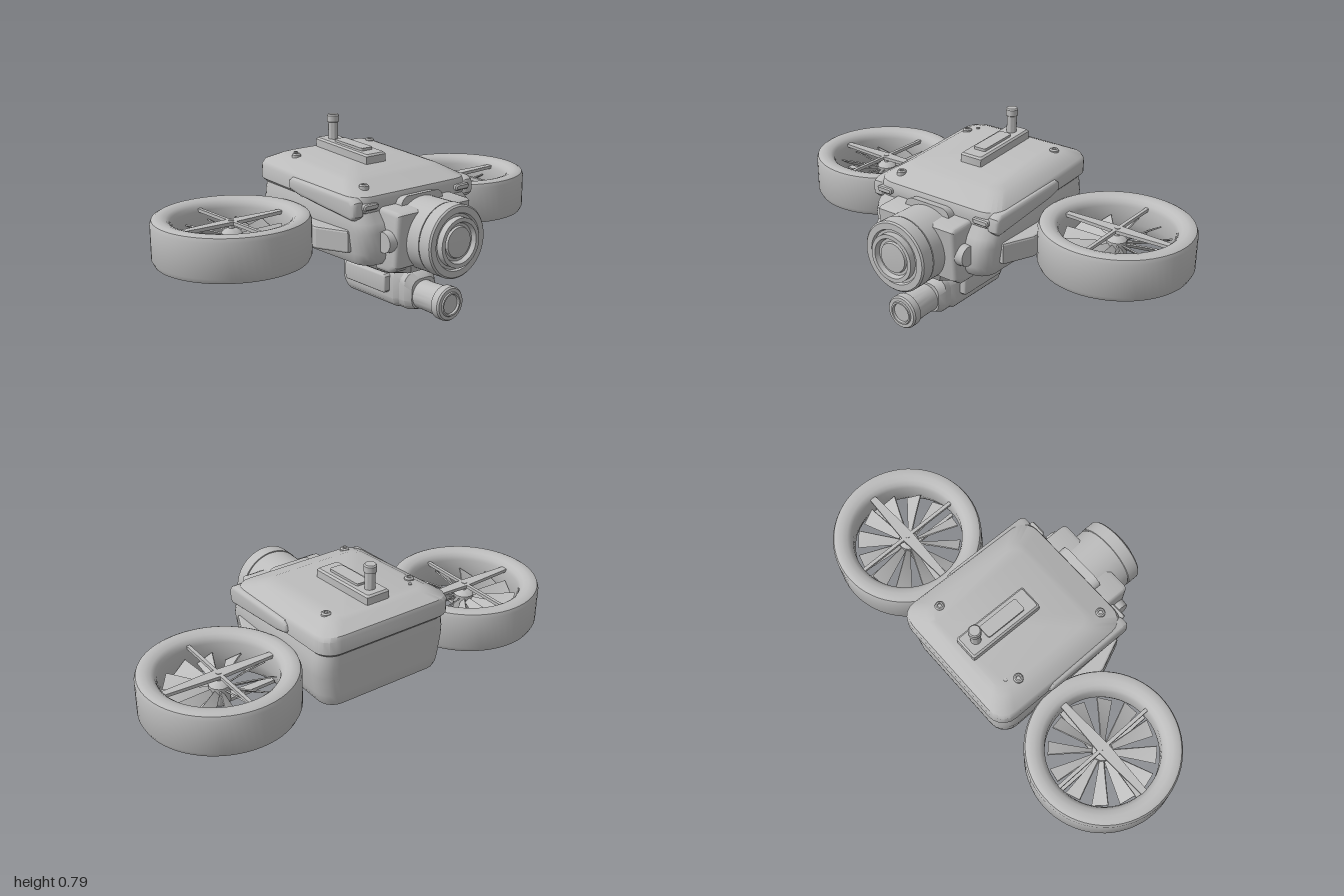
import * as THREE from 'three';
import { toCreasedNormals } from 'three/addons/utils/BufferGeometryUtils.js';

const grey = new THREE.MeshStandardMaterial({ color: 0xbcbcbc });
grey.name = 'plain grey';

// Rounded rectangle outline, counter-clockwise in (u, v)
function outline([, u0, u1, v0, v1, r], seg) {
  const pts = [];
  const corners = [[u1 - r, v0 + r, -1], [u1 - r, v1 - r, 0], [u0 + r, v1 - r, 1], [u0 + r, v0 + r, 2]];
  for (const [cu, cv, q] of corners)
    for (let i = 0; i <= seg; i++) {
      const a = (q + i / seg) * Math.PI / 2;
      pts.push([cu + r * Math.cos(a), cv + r * Math.sin(a)]);
    }
  return pts;
}

// Capped skin through rings [t, u0, u1, v0, v1, radius, slope] along 'y' or 'z'
function loft(rings, axis, seg = 5, crease = 0.65) {
  const pos = [], idx = [], n = 4 * (seg + 1);
  const tri = (a, b, c) => (axis === 'y' ? idx.push(a, c, b) : idx.push(a, b, c));
  for (const ring of rings)
    for (const [u, v] of outline(ring, seg))
      axis === 'y' ? pos.push(u, ring[0] + (ring[6] || 0) * v, v) : pos.push(u, v, ring[0]);
  for (let k = 0; k < rings.length - 1; k++)
    for (let i = 0; i < n; i++) {
      const a = k * n + i, b = k * n + (i + 1) % n;
      tri(a, b, b + n);
      tri(a, b + n, a + n);
    }
  const top = (rings.length - 1) * n;
  for (let i = 1; i < n - 1; i++) {
    tri(0, i + 1, i);
    tri(top, top + i, top + i + 1);
  }
  const g = new THREE.BufferGeometry();
  g.setAttribute('position', new THREE.Float32BufferAttribute(pos, 3));
  g.setIndex(idx);
  return toCreasedNormals(g, crease);
}

// Side profile [z, y] extruded across x, centred at cx
function sideExtrude(points, width, cx, bevel = 0.01) {
  const g = new THREE.ExtrudeGeometry(new THREE.Shape(points.map(p => new THREE.Vector2(...p))), {
    depth: width - 2 * bevel, bevelSize: bevel, bevelThickness: bevel, bevelOffset: -bevel, bevelSegments: 3,
  });
  g.rotateY(-Math.PI / 2);
  g.translate(cx + width / 2 - bevel, 0, 0);
  return toCreasedNormals(g, 0.6);
}

// Revolved profile [radius, height]
function turned(points, seg = 48) {
  return toCreasedNormals(new THREE.LatheGeometry(points.map(p => new THREE.Vector2(...p)), seg), 0.6);
}

export function createModel() {
  const model = new THREE.Group();
  const add = (name, geometry, parent = model, x = 0, y = 0, z = 0) => {
    const m = new THREE.Mesh(geometry, grey);
    m.name = name;
    m.position.set(x, y, z);
    parent.add(m);
    return m;
  };

  // Main hull, belly and lid
  add('hull', loft([
    [0.25, -0.28, 0.28, -0.43, 0.25, 0.06],
    [0.258, -0.3, 0.3, -0.445, 0.27, 0.07],
    [0.28, -0.312, 0.312, -0.453, 0.288, 0.08],
    [0.31, -0.318, 0.318, -0.455, 0.295, 0.08],
    [0.4, -0.332, 0.332, -0.455, 0.295, 0.08],
    [0.44, -0.333, 0.333, -0.455, 0.28, 0.08],
    [0.48, -0.328, 0.328, -0.455, 0.25, 0.08],
    [0.51, -0.32, 0.32, -0.455, 0.24, 0.08],
  ], 'y'));
  add('belly', loft([
    [0.195, -0.16, 0.16, -0.12, 0.3, 0.07],
    [0.205, -0.175, 0.175, -0.137, 0.325, 0.08],
    [0.255, -0.21, 0.21, -0.215, 0.35, 0.09],
  ], 'y', 1, 0.3));
  add('lid', loft([
    [0.485, -0.32, 0.32, -0.46, 0.24, 0.07, -0.055],
    [0.5, -0.335, 0.335, -0.475, 0.25, 0.08, -0.055],
    [0.55, -0.335, 0.335, -0.475, 0.25, 0.08, -0.076],
    [0.568, -0.325, 0.325, -0.468, 0.243, 0.08, -0.076],
    [0.602, -0.265, 0.265, -0.41, 0.14, 0.06, -0.069],
    [0.612, -0.235, 0.235, -0.385, 0.11, 0.05, -0.069],
  ], 'y'));

  // Front housing that carries the lens
  add('frontHousing', sideExtrude([[0.22, 0.5], [0.355, 0.495], [0.375, 0.485], [0.355, 0.25], [0.31, 0.22], [0.22, 0.22]], 0.42, 0, 0.02));
  add('lensBridge', loft([
    [0.23, -0.12, 0.12, 0.3, 0.525, 0.04],
    [0.29, -0.12, 0.12, 0.3, 0.535, 0.04],
  ], 'z'));
  const lens = turned([
    [0, 0.26], [0.158, 0.26], [0.158, 0.436], [0.155, 0.437], [0.155, 0.441], [0.16, 0.442], [0.16, 0.5],
    [0.153, 0.507], [0.125, 0.507], [0.12, 0.495], [0.108, 0.495], [0.108, 0.525], [0.09, 0.525],
    [0.082, 0.505], [0.07, 0.505], [0.066, 0.515], [0, 0.52],
  ], 64);
  lens.rotateX(Math.PI / 2);
  add('mainLens', lens, model, 0, 0.365, 0);

  // Mirrored side parts
  for (const s of [-1, 1]) {
    add('lidFlap', sideExtrude([[0.25, 0.475], [0.23, 0.457], [-0.13, 0.495], [-0.2, 0.512], [-0.21, 0.53], [-0.205, 0.555], [-0.185, 0.57],
      [0.22, 0.55], [0.245, 0.535], [0.25, 0.52]], 0.06, s * 0.318, 0.018));
    const knob = new THREE.CylinderGeometry(0.045, 0.05, 0.05, 24);
    knob.rotateZ(-s * Math.PI / 2);
    add('sideKnob', toCreasedNormals(knob, 0.5), model, s * 0.217, 0.365, 0.31);
    add('frontLamp', loft([
      [0.235, -0.04, 0.04, -0.013, 0.013, 0.01], [0.262, -0.04, 0.04, -0.013, 0.013, 0.01],
      [0.268, -0.034, 0.034, -0.008, 0.008, 0.006],
    ], 'z', 3), model, s * 0.265, 0.512, 0);
    const plan = [[0.28, 0.19], [0.34, 0.2], [0.4, 0.06], [0.4, -0.2], [0.28, -0.2]];
    const arm = new THREE.ExtrudeGeometry(new THREE.Shape(plan.map(([x, z]) => new THREE.Vector2(s * x, z))),
      { depth: 0.08, bevelSize: 0.01, bevelThickness: 0.01, bevelOffset: -0.01, bevelSegments: 2 });
    arm.rotateX(Math.PI / 2);
    add('rotorArm', arm, model, 0, 0.4, 0);
    add('podSidePlate', sideExtrude([[0.198, 0.095], [0.198, 0.16], [0.188, 0.17], [-0.066, 0.17], [-0.076, 0.16],
      [-0.076, 0.095], [-0.066, 0.085], [0.188, 0.085]], 0.05, s * 0.11));
    model.add(createRotor(add, s));
  }

  // Roof bolts
  for (const [x, z] of [[-0.235, -0.29], [0.23, -0.33], [-0.235, 0.18]])
    add('roofBolt', turned([[0, -0.03], [0.021, -0.03], [0.021, 0.004], [0.015, 0.01], [0.009, 0.01], [0.008, 0.004], [0, 0.004]], 20),
      model, x, z > 0 ? 0.58 : 0.634, z);
  add('roofPin', new THREE.CylinderGeometry(0.008, 0.008, 0.02, 12), model, -0.205, 0.63, -0.335);

  // Roof block with strip and antenna
  add('roofBlock', loft([
    [0.6, -0.058, 0.058, -0.38, -0.012, 0.008, -0.06],
    [0.646, -0.058, 0.058, -0.38, -0.012, 0.008, -0.07],
    [0.654, -0.05, 0.05, -0.372, -0.02, 0.006, -0.07],
  ], 'y', 2));
  add('roofStrip', loft([
    [0.64, -0.032, 0.032, -0.275, -0.075, 0.01, -0.06],
    [0.667, -0.032, 0.032, -0.275, -0.075, 0.01, -0.06],
  ], 'y', 3));
  add('antenna', turned([[0, 0.66], [0.023, 0.66], [0.023, 0.753], [0.028, 0.756], [0.028, 0.784], [0.023, 0.79], [0, 0.79]], 24),
    model, 0, 0, -0.32);

  // Under-slung pod and its small lens
  add('podBody', loft([
    [-0.13, -0.09, 0.09, 0.05, 0.172, 0.03],
    [-0.122, -0.1, 0.1, 0.042, 0.182, 0.035],
    [-0.095, -0.105, 0.105, 0.016, 0.196, 0.045],
    [0.22, -0.105, 0.105, 0.016, 0.196, 0.045],
    [0.25, -0.085, 0.085, 0.03, 0.18, 0.04],
  ], 'z', 3));
  add('podNose', loft([
    [0.2, -0.09, 0.09, 0.012, 0.19, 0.05],
    [0.275, -0.09, 0.09, 0.012, 0.18, 0.05],
    [0.303, -0.07, 0.07, 0.018, 0.155, 0.045],
  ], 'z', 3));
  const podLens = turned([
    [0, 0.28], [0.066, 0.28], [0.064, 0.335], [0.067, 0.425], [0.076, 0.43], [0.076, 0.464], [0.07, 0.472],
    [0.055, 0.472], [0.052, 0.478], [0.045, 0.478], [0.042, 0.468], [0, 0.468],
  ], 40);
  podLens.rotateX(Math.PI / 2);
  add('podLens', podLens, model, 0, 0.08, 0);
  return model;
}

// Ducted fan: shroud, cross struts, hub and twisted blades
function createRotor(add, s) {
  const rotor = new THREE.Group();
  rotor.name = s > 0 ? 'leftRotor' : 'rightRotor';
  rotor.position.set(s * 0.66, 0.36, -0.185);
  add('shroud', turned([
    [0.3, -0.1], [0.318, -0.1], [0.33, -0.096], [0.34, -0.075], [0.34, 0.075], [0.333, 0.093], [0.32, 0.1], [0.295, 0.1],
    [0.272, 0.093], [0.257, 0.08], [0.25, 0.06], [0.25, -0.02], [0.265, -0.075], [0.28, -0.095], [0.3, -0.1],
  ], 64), rotor);
  add('hub', turned([[0, -0.07], [0.035, -0.07], [0.045, -0.055], [0.045, 0.02], [0.03, 0.035], [0.012, 0.04], [0.012, 0.075], [0, 0.075]], 24), rotor);
  for (const y of [0.065, -0.06]) {
    // Wide strut narrows towards the shroud
    const wide = new THREE.BoxGeometry(0.51, 0.015, 0.055, 4, 1, 1);
    const p = wide.attributes.position;
    for (let i = 0; i < p.count; i++) p.setZ(i, p.getZ(i) * (1 - 1.8 * Math.abs(p.getX(i))));
    add('wideStrut', toCreasedNormals(wide, 0.3), rotor, 0, y, 0);
    add('thinStrut', new THREE.BoxGeometry(0.016, 0.015, 0.51), rotor, 0, y, 0);
  }
  const count = 12;
  for (let i = 0; i < count; i++) {
    const blade = new THREE.BoxGeometry(0.2, 0.006, 1, 6, 1, 1);
    const p = blade.attributes.position;
    for (let k = 0; k < p.count; k++) {
      const t = p.getX(k) / 0.2 + 0.5, c = p.getZ(k) * (0.025 + 0.055 * t), a = s * (0.85 - 0.3 * t), y = p.getY(k);
      p.setXYZ(k, 0.035 + 0.2 * t, y * Math.cos(a) + c * Math.sin(a), c * Math.cos(a) - y * Math.sin(a));
    }
    blade.computeVertexNormals();
    add('fanBlade', blade, rotor).rotation.y = (i + 0.5) / count * Math.PI * 2;
  }
  return rotor;
}
